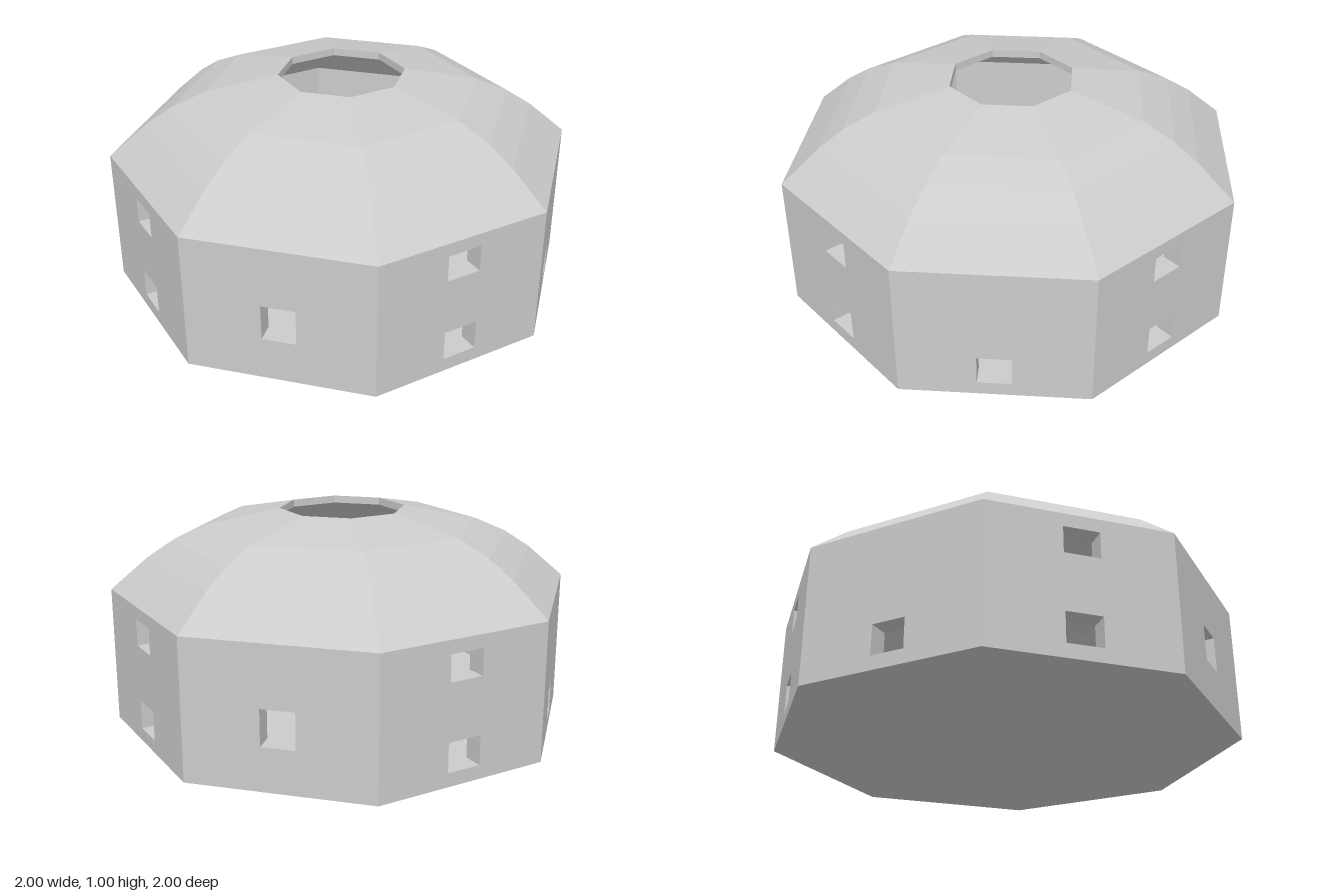
import * as THREE from 'three';

const SIDES = 8;
const STEP = (Math.PI * 2) / SIDES;
const WALL = 0.09;                       // wall thickness
const EAVES = 0.637;                     // wall height outside
const HALF = Math.tan(STEP / 2);         // half a side, for an inradius of 1
const CORNER = 1 / Math.cos(STEP / 2);   // inradius to corner radius
const material = new THREE.MeshStandardMaterial({ color: 0xcccccc, flatShading: true });

function add(group, name, geometry) {
  const mesh = new THREE.Mesh(geometry, material);
  mesh.name = name;
  group.add(mesh);
  return mesh;
}

// One wall side with window holes [bottom, top, width], mitred at both ends
function wallGeometry(windows) {
  const shape = new THREE.Shape();
  shape.moveTo(-HALF, 0).lineTo(HALF, 0).lineTo(HALF, EAVES).lineTo(-HALF, EAVES).closePath();
  for (const [y0, y1, w] of windows) {
    const hole = new THREE.Path();
    hole.moveTo(-w / 2, y0).lineTo(-w / 2, y1).lineTo(w / 2, y1).lineTo(w / 2, y0).closePath();
    shape.holes.push(hole);
  }
  const geometry = new THREE.ExtrudeGeometry(shape, { depth: WALL, bevelEnabled: false });
  geometry.translate(0, 0, 1 - WALL);
  const p = geometry.attributes.position;
  for (let i = 0; i < p.count; i++) {
    const inner = p.getZ(i) < 1 - WALL / 2;
    if (inner && Math.abs(p.getX(i)) > HALF * 0.9) {
      p.setX(i, p.getX(i) * (1 - WALL));
      if (p.getY(i) > 0.6) p.setY(i, 0.62);
    }
  }
  geometry.computeVertexNormals();
  return geometry;
}

export function createModel() {
  const model = new THREE.Group();
  model.name = 'octagonalHall';

  // Walls: two windows on the diagonals, one on the main sides
  const diagonal = wallGeometry([[0.063, 0.198, 0.16], [0.457, 0.577, 0.16]]);
  const frontBack = wallGeometry([[0.198, 0.362, 0.15]]);
  const leftRight = wallGeometry([[0.063, 0.198, 0.15]]);
  for (let i = 0; i < SIDES; i++) {
    const geometry = i % 2 ? diagonal : i % 4 ? leftRight : frontBack;
    add(model, 'wall' + (i + 1), geometry).rotation.y = i * STEP;
  }

  // Floor slab inside the walls
  const r = (1 - WALL) * CORNER;
  const floor = new THREE.CylinderGeometry(r, r, 0.063, SIDES, 1, false, STEP / 2);
  add(model, 'floor', floor.translate(0, 0.0315, 0));

  // Faceted dome shell: outside up to the open eye, then the inside back down
  const profile = [
    [1, EAVES], [0.84, 0.785], [0.73, 0.863], [0.59, 0.93], [0.34, 0.985], [0.272, 1],
    [0.272, 0.965], [0.31, 0.955], [0.54, 0.88], [0.67, 0.815], [0.77, 0.745], [0.91, 0.62],
  ].map(([x, y]) => new THREE.Vector2(x * CORNER, y));
  add(model, 'dome', new THREE.LatheGeometry(profile, SIDES, STEP / 2));

  return model;
}
